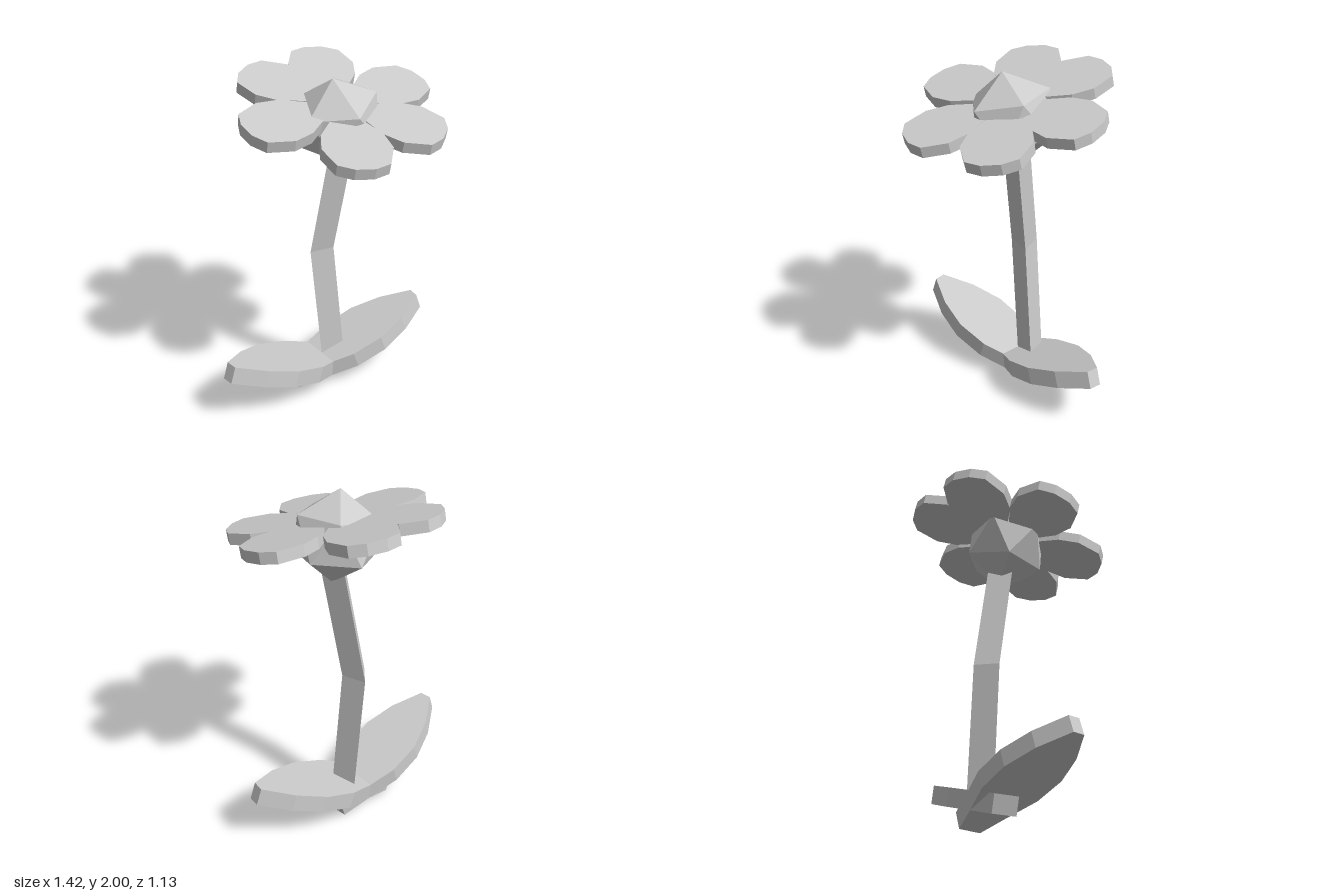
import * as THREE from 'three';
import { ConvexGeometry } from 'three/addons/geometries/ConvexGeometry.js';

const grey = new THREE.MeshStandardMaterial({ color: 0xcccccc, flatShading: true });
grey.name = 'plain grey';

// Flat plate pointing along +x, symmetric about its midline; half = [along, halfWidth] pairs
function plate(half, thickness) {
  const outline = [
    ...half.map(([u, v]) => new THREE.Vector2(u, v)),
    ...half.slice().reverse().map(([u, v]) => new THREE.Vector2(u, -v)),
  ];
  const geo = new THREE.ExtrudeGeometry(new THREE.Shape(outline), { depth: thickness, bevelEnabled: false });
  return geo.rotateX(-Math.PI / 2);
}

function add(parent, name, geo) {
  const mesh = new THREE.Mesh(geo, grey);
  mesh.name = name;
  parent.add(mesh);
  return mesh;
}

// Three-sided stem with one bend
function stemGeometry() {
  const centres = [[0.088, 0.08, -0.145], [0.01, 0.91, -0.152], [0.08, 1.72, -0.012]];
  const geo = new THREE.CylinderGeometry(0.085, 0.085, 2, 3, 2, false, 0.908);
  const p = geo.attributes.position;
  for (let i = 0; i < p.count; i++) {
    const c = centres[Math.round(p.getY(i)) + 1];
    p.setXYZ(i, p.getX(i) + c[0], c[1], p.getZ(i) + c[2]);
  }
  return geo;
}

// Twenty-sided flower centre: two tips and two staggered rings of five
function coreGeometry(r) {
  const pts = [new THREE.Vector3(0, r, 0), new THREE.Vector3(0, -r, 0)];
  const h = r / Math.sqrt(5);
  for (let i = 0; i < 10; i++) {
    const a = Math.PI / 2 + (i * Math.PI) / 5;
    pts.push(new THREE.Vector3(Math.cos(a) * 2 * h, i % 2 ? -h : h, Math.sin(a) * 2 * h));
  }
  return new ConvexGeometry(pts);
}

export function createModel() {
  const flower = new THREE.Group();
  flower.name = 'flower';

  add(flower, 'stem', stemGeometry());

  // Leaves rising to either side and crossing at the foot
  const leafGeo = plate([[-0.19, 0.07], [-0.02, 0.12], [0.18, 0.185], [0.38, 0.19], [0.57, 0.135], [0.75, 0.035]], 0.104);
  for (const [name, yaw] of [['leftLeaf', -0.075], ['rightLeaf', Math.PI + 0.168]]) {
    const leaf = add(flower, name, leafGeo);
    leaf.position.set(0, 0.063, -0.135);
    leaf.rotation.set(0, yaw, 0.323, 'YZX');
  }

  // Tilted ring of petals
  const petals = new THREE.Group();
  petals.name = 'petals';
  petals.position.set(0.05, 1.788, -0.01);
  petals.rotation.x = 0.231;
  flower.add(petals);
  const petalGeo = plate([[0.08, 0.04], [0.165, 0.09], [0.29, 0.168], [0.41, 0.19], [0.548, 0.14], [0.588, 0.053]], 0.064);
  [-8.2, 50, 109.5, 176.7, 236.5, 287].forEach((deg, i) => {
    add(petals, 'petal' + (i + 1), petalGeo).rotation.y = -THREE.MathUtils.degToRad(deg);
  });

  // Flower centre
  const core = add(flower, 'flowerCentre', coreGeometry(0.257));
  core.position.set(0.05, 1.75, -0.015);
  core.quaternion.setFromUnitVectors(
    new THREE.Vector3(0, 1, 0),
    new THREE.Vector3(-0.05, 0.25, 0.025).normalize()
  );

  return flower;
}
